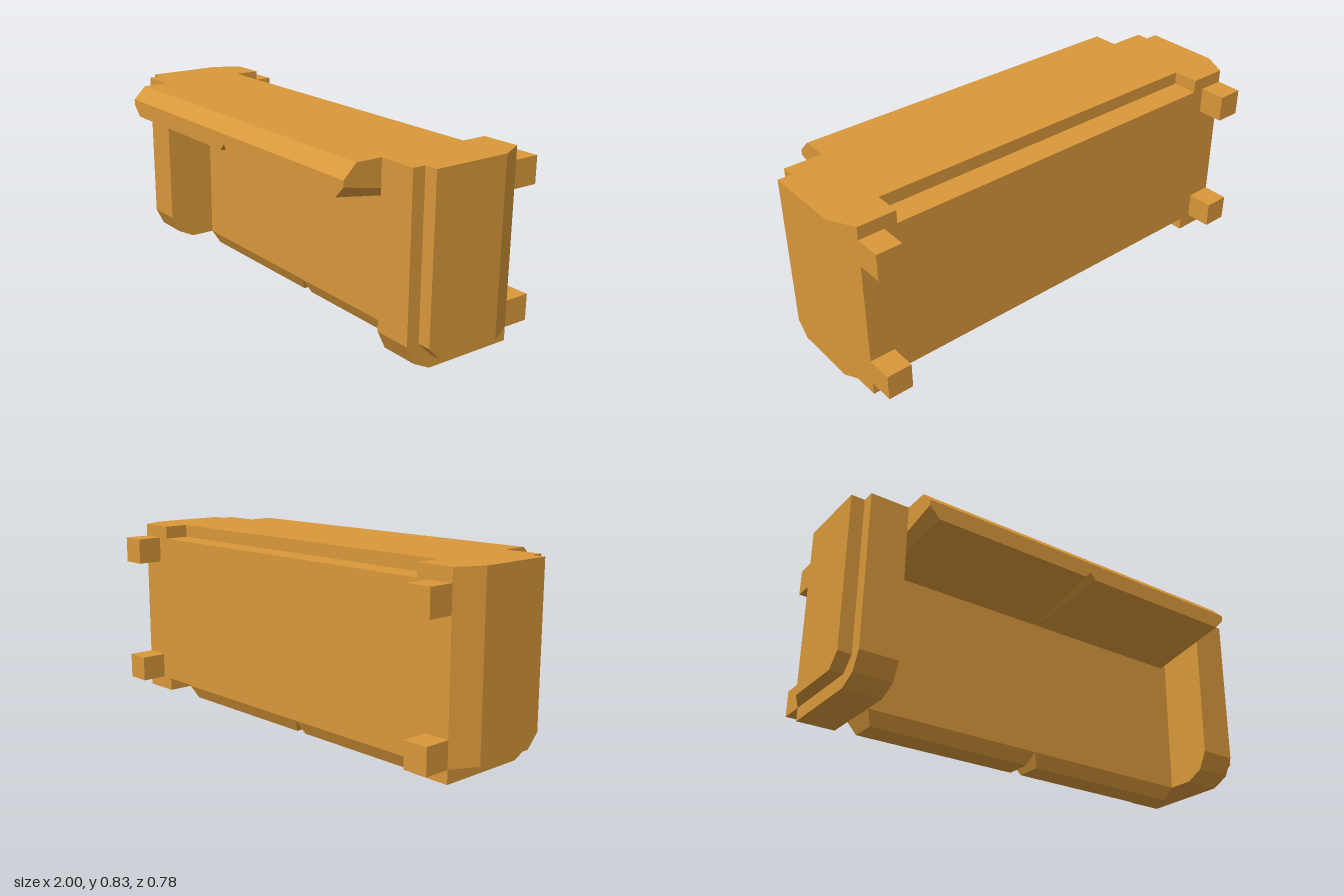
import * as THREE from 'three';

const material = new THREE.MeshStandardMaterial({ color: 0xd9983a, flatShading: true });

function add(group, name, geometry) {
  const mesh = new THREE.Mesh(geometry, material);
  mesh.name = name;
  group.add(mesh);
  return mesh;
}

// Extrude a side profile of [z, y] points from x0 to x1
function slab(profile, x0, x1) {
  const shape = new THREE.Shape(profile.map(([z, y]) => new THREE.Vector2(z, y)));
  const geo = new THREE.ExtrudeGeometry(shape, { depth: x1 - x0, bevelEnabled: false });
  return geo.rotateY(-Math.PI / 2).translate(x1, 0, 0);
}

function moveVertices(geo, rule) {
  const p = geo.attributes.position;
  const v = new THREE.Vector3();
  for (let i = 0; i < p.count; i++) {
    rule(v.fromBufferAttribute(p, i));
    p.setXYZ(i, v.x, v.y, v.z);
  }
  geo.computeVertexNormals();
  return geo;
}

// Overhanging hood: cross-sections along x, lower edge chamfered at the ends and notched in the middle
function hoodGeometry() {
  // x of the front edge, x of the back edge, lower y at the front, lower y at the back
  const half = [
    [0.78, 0.78, 0.755, 0.68],
    [0.735, 0.753, 0.708, 0.654],
    [0.027, 0.004, 0.708, 0.654],
  ];
  const specs = [
    ...half.map(([f, b, y1, y0]) => [-f, -b, y1, y0]),
    [0, 0, 0.737, 0.658],
    ...half.slice().reverse(),
  ];
  const sections = specs.map(([xf, xb, yf, yb]) => [
    [xf, 0.835, 0], [xf, 0.835, 0.335], [xf, 0.78, 0.39], [xf, yf, 0.39], [xb, yb, 0],
  ]);
  const pos = [];
  const tri = (a, b, c) => pos.push(...a, ...b, ...c);
  const n = 5;
  for (let i = 0; i < sections.length - 1; i++) {
    const s = sections[i], t = sections[i + 1];
    for (let j = 0; j < n; j++) {
      const k = (j + 1) % n;
      tri(s[j], s[k], t[k]);
      tri(s[j], t[k], t[j]);
    }
  }
  const first = sections[0], last = sections[sections.length - 1];
  for (let j = 1; j < n - 1; j++) {
    tri(first[0], first[j + 1], first[j]);
    tri(last[0], last[j], last[j + 1]);
  }
  const geo = new THREE.BufferGeometry();
  geo.setAttribute('position', new THREE.Float32BufferAttribute(pos, 3));
  geo.computeVertexNormals();
  return geo;
}

export function createModel() {
  const model = new THREE.Group();
  model.name = 'body';

  // Recessed middle block, stepped along its rear top and bottom edges
  add(model, 'centerPanel', slab([
    [0, 0.057], [0, 0.835], [-0.167, 0.835], [-0.167, 0.78],
    [-0.278, 0.78], [-0.278, 0.113], [-0.167, 0.113], [-0.167, 0.057],
  ], -0.78, 0.78));

  add(model, 'hood', hoodGeometry());

  const pillarProfile = [
    [0.222, 0.835], [0.222, 0.17], [0.185, 0.094], [0.111, 0.057],
    [-0.278, 0.057], [-0.278, 0.835],
  ];
  const plateProfile = [
    [0.167, 0.835], [0.167, 0.17], [0.111, 0.113], [-0.278, 0.113], [-0.278, 0.835],
  ];

  for (const side of [1, -1]) {
    const label = side > 0 ? 'left' : 'right';
    const span = (a, b) => (side > 0 ? [a, b] : [-b, -a]);

    add(model, label + 'Pillar', slab(pillarProfile, ...span(0.78, 0.943)));

    // Outer plate, its outside face cut back at the rear
    add(model, label + 'SidePlate', moveVertices(
      slab(plateProfile, ...span(0.943, 1)),
      (v) => { if (Math.abs(v.x) > 0.99 && v.z < -0.2) v.z = -0.167; },
    ));

    // Rear pegs
    for (const [name, y0, y1] of [['LowerPeg', 0.113, 0.223], ['UpperPeg', 0.668, 0.78]]) {
      add(model, label + name, new THREE.BoxGeometry(0.108, y1 - y0, 0.112))
        .position.set(side * 0.889, (y0 + y1) / 2, -0.334);
    }

    // Tapered foot rail under the middle block
    const rail = moveVertices(new THREE.BoxGeometry(0.78, 0.057, 0.167), (v) => {
      if (v.y < 0) {
        v.x -= Math.sign(v.x) * 0.027;
        v.z -= Math.sign(v.z) * 0.028;
      }
    });
    add(model, label + 'FootRail', rail).position.set(side * 0.39, 0.0285, -0.0835);
  }
  return model;
}
